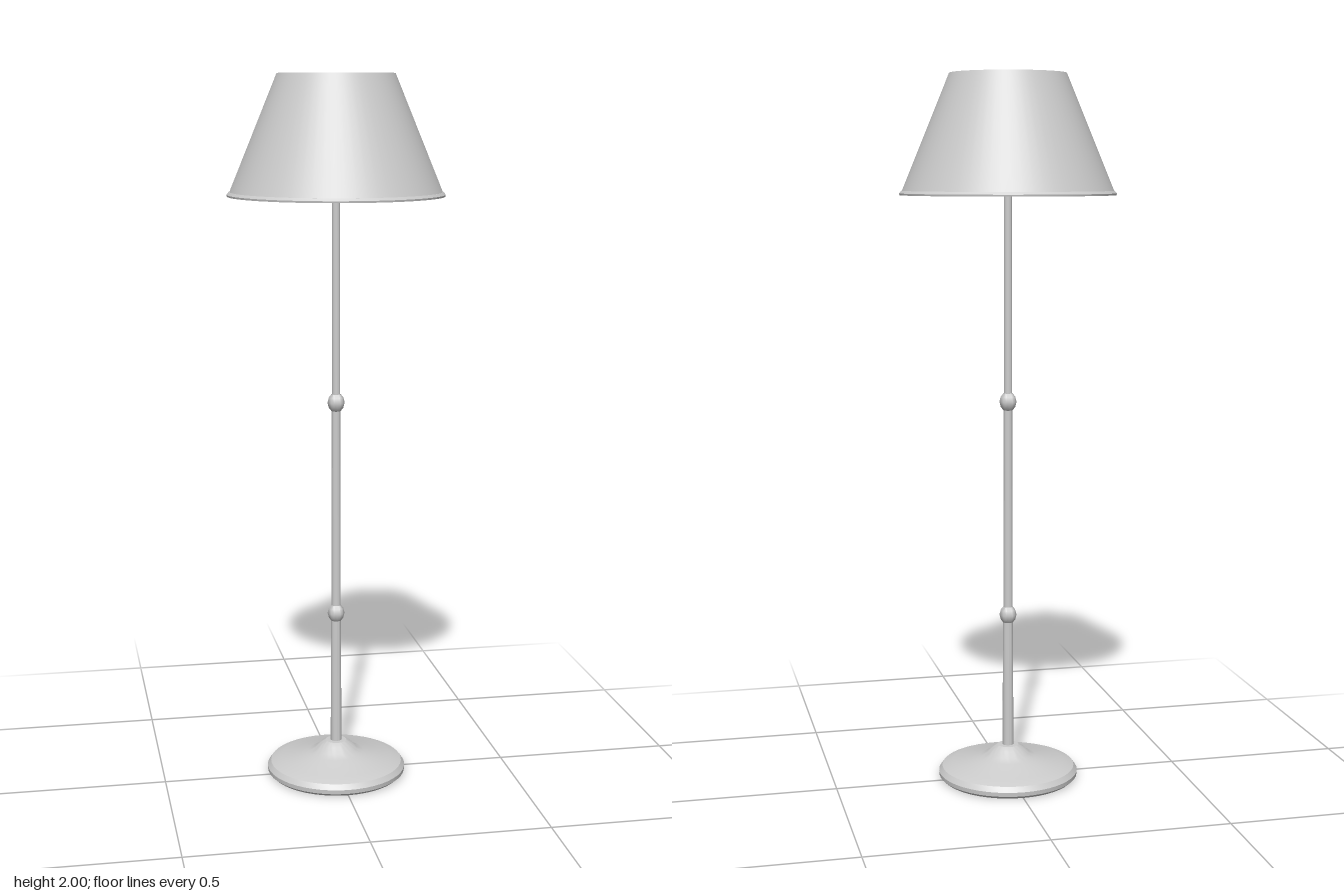
import * as THREE from 'three';
import { toCreasedNormals } from 'three/addons/utils/BufferGeometryUtils.js';

const material = new THREE.MeshStandardMaterial({ color: 0xcccccc, side: THREE.DoubleSide });

// Revolve [radius, height] pairs, listed from the bottom up the outside
function lathe(name, profile, sides, crease = 0.5) {
  const points = profile.map(([r, y]) => new THREE.Vector2(r, y));
  const geometry = toCreasedNormals(new THREE.LatheGeometry(points, sides), crease);
  const mesh = new THREE.Mesh(geometry, material);
  mesh.name = name;
  return mesh;
}

export function createModel() {
  const lamp = new THREE.Group();
  lamp.name = 'floorLamp';

  // Domed foot with a flat underside
  lamp.add(lathe('base', [
    [0, 0], [0.19, 0], [0.199, 0.008], [0.2, 0.02], [0.19, 0.034], [0.16, 0.045],
    [0.08, 0.06], [0.06, 0.07], [0.045, 0.085], [0.03, 0.094], [0, 0.095],
  ], 48));

  // Slender pole, slightly thinner in each section
  const sections = [[0.09, 0.48, 0.016, 0.0145], [0.48, 1.095, 0.0135, 0.0125], [1.095, 1.74, 0.012, 0.011]];
  sections.forEach(([y0, y1, r0, r1], i) => {
    lamp.add(lathe(`poleSection${i + 1}`, [[r0, y0], [r1, y1]], 16));
  });

  // Turned knots at the pole joints
  [0.48, 1.095].forEach((y, i) => {
    lamp.add(lathe(`poleKnot${i + 1}`, [
      [0.013, y - 0.024], [0.021, y - 0.014], [0.0245, y], [0.021, y + 0.014], [0.013, y + 0.024],
    ], 16, 1));
  });

  // Thin-walled conical shade with a projecting lower lip
  lamp.add(lathe('shade', [
    [0.288, 1.68], [0.293, 1.68], [0.161, 2], [0.157, 2], [0.288, 1.68],
  ], 64));
  lamp.add(lathe('shadeLip', [
    [0.288, 1.67], [0.299, 1.67], [0.3, 1.675], [0.294, 1.682], [0.288, 1.682],
  ], 64));

  // Flat diffuser closing the underside of the shade
  const diffuser = new THREE.Mesh(new THREE.CylinderGeometry(0.292, 0.292, 0.004, 64), material);
  diffuser.name = 'diffuser';
  diffuser.position.y = 1.675;
  lamp.add(diffuser);

  // Socket and bulb
  lamp.add(lathe('socket', [[0.02, 1.68], [0.02, 1.73], [0.014, 1.74]], 16));
  const bulb = new THREE.Mesh(new THREE.SphereGeometry(0.036, 10, 8), material);
  bulb.name = 'bulb';
  bulb.position.y = 1.765;
  lamp.add(bulb);

  // Three spokes around the hub
  for (let i = 0; i < 3; i++) {
    const spoke = new THREE.Group();
    spoke.name = `spoke${i + 1}`;
    const rod = new THREE.Mesh(new THREE.CylinderGeometry(0.0025, 0.0025, 0.148, 8), material);
    rod.rotation.z = Math.PI / 2;
    rod.position.x = 0.074;
    spoke.add(rod);
    spoke.position.y = 1.84;
    spoke.rotation.y = (i * Math.PI * 2) / 3;
    lamp.add(spoke);
  }

  // Hub, stem and ball finial
  lamp.add(lathe('hub', [[0.012, 1.79], [0.02, 1.8], [0.02, 1.815], [0.006, 1.83]], 16));
  lamp.add(lathe('finialStem', [[0.005, 1.82], [0.005, 1.96]], 10));
  const finial = new THREE.Mesh(new THREE.SphereGeometry(0.012, 16, 12), material);
  finial.name = 'finial';
  finial.position.y = 1.958;
  lamp.add(finial);

  return lamp;
}
